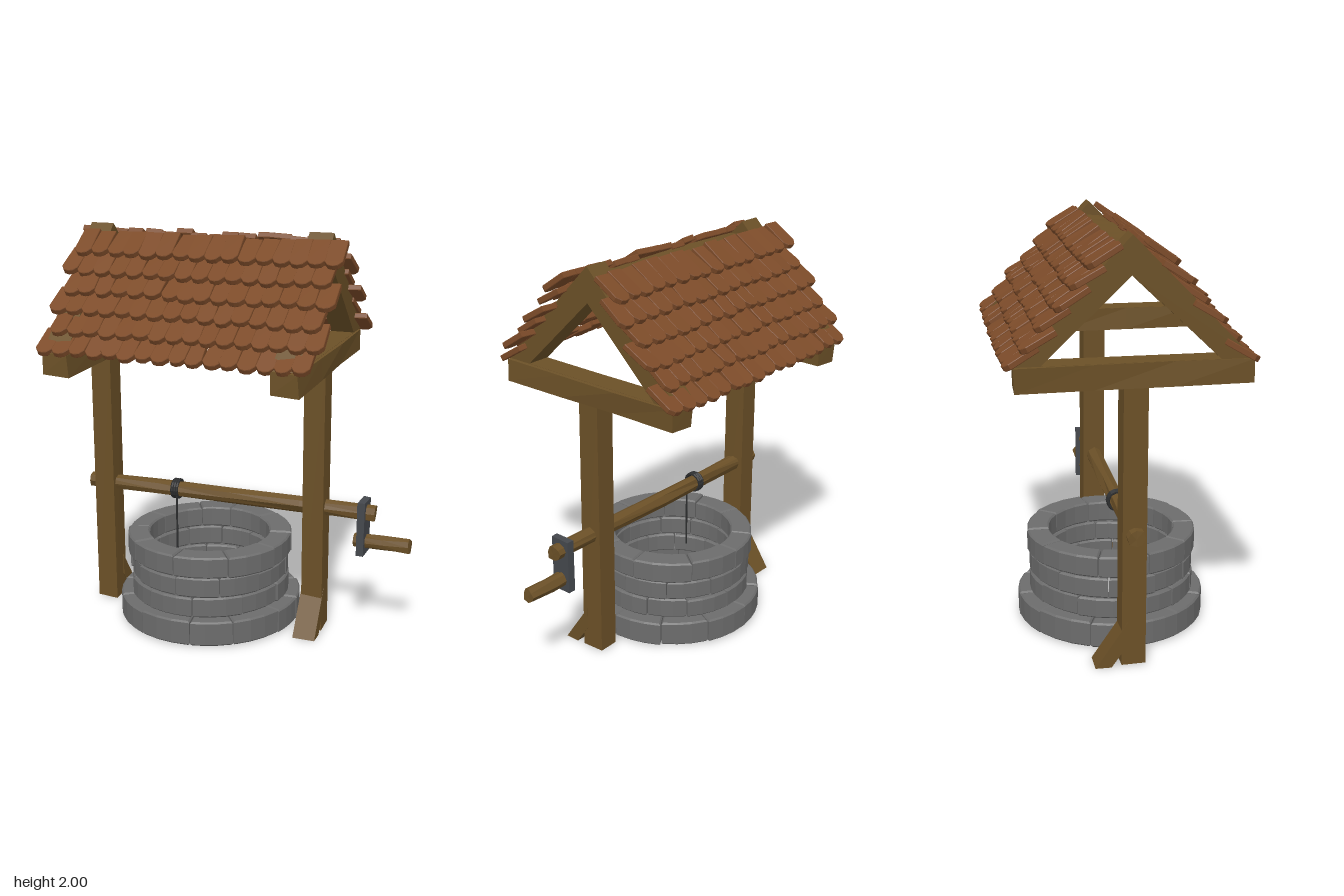
import * as THREE from 'three';

const mat = (color) => new THREE.MeshStandardMaterial({ color, flatShading: true, roughness: 0.9 });

// Small seeded generator, returns -1..1
function seeded(seed) {
  let s = seed;
  return () => {
    s = (s * 16807) % 2147483647;
    return (s / 2147483647) * 2 - 1;
  };
}

// Rough-hewn look: shift vertices by a rule of their position, so shared corners stay together
function warp(geo, amount) {
  const p = geo.attributes.position;
  for (let i = 0; i < p.count; i++) {
    const x = p.getX(i), y = p.getY(i), z = p.getZ(i);
    const k = x * 17 + y * 29 + z * 41;
    p.setXYZ(i, x + amount * Math.sin(k), y + amount * Math.sin(k * 1.7 + 1), z + amount * Math.sin(k * 2.3 + 2));
  }
  geo.computeVertexNormals();
  return geo;
}

function add(parent, name, geo, material, x = 0, y = 0, z = 0) {
  const mesh = new THREE.Mesh(geo, material);
  mesh.name = name;
  mesh.position.set(x, y, z);
  parent.add(mesh);
  return mesh;
}

const toShape = (pts) => new THREE.Shape(pts.map(([a, b]) => new THREE.Vector2(a, b)));

// Extrude a (z, y) outline along x, centred on x = 0
function extrudeX(shape, width) {
  const geo = new THREE.ExtrudeGeometry(shape, { depth: width, bevelEnabled: false });
  geo.translate(0, 0, -width / 2);
  geo.rotateY(-Math.PI / 2);
  return geo;
}

// A bevelled ring-sector stone, lying flat with its base at y = 0
function stoneGeometry(rIn, rOut, a0, a1, height) {
  const b = 0.008, pts = [], n = 3;
  const at = (r, a) => [r * Math.cos(a), r * Math.sin(a)];
  const gOut = (b + 0.002) / rOut, gIn = (b + 0.002) / rIn;
  for (let i = 0; i <= n; i++) pts.push(at(rOut - b, a0 + gOut + ((a1 - a0 - 2 * gOut) * i) / n));
  for (let i = n; i >= 0; i--) pts.push(at(rIn + b, a0 + gIn + ((a1 - a0 - 2 * gIn) * i) / n));
  const geo = new THREE.ExtrudeGeometry(toShape(pts), {
    depth: height - 2 * b, bevelEnabled: true, bevelSize: b, bevelThickness: b, bevelSegments: 1,
  });
  geo.translate(0, 0, b);
  geo.rotateX(-Math.PI / 2);
  return geo;
}

function buildWall(material) {
  const wall = new THREE.Group();
  wall.name = 'stoneWall';
  const rnd = seeded(77);
  // base height, height, inner radius, outer radius, stones, turn
  const courses = [
    [0.01, 0.125, 0.355, 0.465, 12, 0.1],
    [0.137, 0.1, 0.315, 0.405, 11, 0.35],
    [0.243, 0.1, 0.315, 0.405, 11, 0.05],
    [0.35, 0.108, 0.31, 0.423, 10, 0.27],
  ];
  for (const [y, h, rIn, rOut, n, turn] of courses) {
    const step = (Math.PI * 2) / n;
    const cuts = Array.from({ length: n }, (_, i) => turn + step * (i + 0.12 * rnd()));
    cuts.push(cuts[0] + Math.PI * 2);
    for (let i = 0; i < n; i++) {
      const geo = stoneGeometry(rIn, rOut + 0.006 * rnd(), cuts[i], cuts[i + 1], h + 0.004 * rnd());
      add(wall, 'stone', geo, material, 0, y, 0);
    }
  }
  return wall;
}

// One slope of overlapping tiles, rounded at their lower ends
function buildSlope(material, seed) {
  const slope = new THREE.Group();
  slope.name = 'roofSlope';
  const rnd = seeded(seed);
  const rows = 6, cols = 16, w = 0.0845, h = w / 2;
  const geo = new THREE.ExtrudeGeometry(
    toShape([[-h, 0.03], [-h * 0.55, 0.006], [0, 0], [h * 0.55, 0.006], [h, 0.03], [h * 0.95, 0.17], [-h * 0.95, 0.17]]),
    { depth: 0.022, bevelEnabled: true, bevelSize: 0.002, bevelThickness: 0.003, bevelSegments: 1 },
  );
  for (let r = 0; r < rows; r++) {
    for (let c = 0; c < cols; c++) {
      const x = (c - (cols - 1) / 2) * w + (r % 2) * 0.04;
      const tile = add(slope, 'roofTile', geo, material,
        x + 0.003 * rnd(), 1.435 + r * 0.085 + 0.006 * rnd(), 0.553 - r * 0.071 + 0.006 * rnd());
      tile.rotation.set(-1.01 + 0.06 * rnd(), 0.06 * rnd(), 0.05 * rnd());
      tile.scale.x = 1 + 0.05 * rnd();
    }
  }
  return slope;
}

export function createModel() {
  const wood = mat(0x6b5027), tileMat = mat(0x7c4b29), stone = mat(0x6c6c6c);
  const metal = mat(0x45484d), ropeMat = mat(0x2c2d2e);
  const model = new THREE.Group();
  model.name = 'well';
  const midX = -0.175, midZ = 0.02;

  const wall = buildWall(stone);
  wall.position.set(midX, 0, midZ);
  model.add(wall);

  // Two frames: post, foot brace, cross beam and gable; braces face opposite ways
  const gable = toShape([[-0.54, 1.45], [0.54, 1.45], [0, 2]]);
  gable.holes.push(new THREE.Path([[-0.395, 1.451], [0, 1.83], [0.395, 1.451]].map((p) => new THREE.Vector2(...p))));
  const brace = toShape([[0.18, 0.003], [0.105, 0.003], [0.03, 0.11], [0.03, 0.225]]);
  for (const side of [1, -1]) {
    const frame = new THREE.Group();
    frame.name = side > 0 ? 'leftFrame' : 'rightFrame';
    frame.position.x = midX + side * 0.57;
    add(frame, 'post', warp(new THREE.BoxGeometry(0.11, 1.34, 0.115), 0.003), wood, 0, 0.68, midZ);
    const foot = add(frame, 'footBrace', extrudeX(brace, 0.114), wood, 0, 0, midZ);
    foot.rotation.y = side > 0 ? 0 : Math.PI;
    add(frame, 'crossBeam', warp(new THREE.BoxGeometry(0.13, 0.11, 1.05, 1, 1, 3), 0.005), wood, 0, 1.39, 0.015);
    add(frame, 'gable', extrudeX(gable, 0.12), wood);
    model.add(frame);
  }
  add(model, 'ridgeBeam', warp(new THREE.BoxGeometry(1.1, 0.09, 0.125, 6, 1, 1), 0.006), wood, midX, 1.89, 0.005);

  // Roof: the second slope is the first turned half way round
  const roof = new THREE.Group();
  roof.name = 'roof';
  roof.position.x = -0.165;
  const back = buildSlope(tileMat, 912);
  back.rotation.y = Math.PI;
  roof.add(buildSlope(tileMat, 345), back);
  model.add(roof);

  // Axle, crank and handle
  const rod = (r, len, segs) => warp(new THREE.CylinderGeometry(r, r, len, 8, segs).rotateZ(Math.PI / 2), 0.004);
  add(model, 'axle', rod(0.04, 1.54, 4), wood, -0.07, 0.65, midZ);
  add(model, 'crankArm', warp(new THREE.BoxGeometry(0.036, 0.275, 0.11), 0.003), metal, 0.64, 0.575, midZ);
  add(model, 'crankHandle', rod(0.036, 0.275, 2), wood, 0.738, 0.5, midZ);

  // Rope coils and hanging end
  const rope = new THREE.Group();
  rope.name = 'rope';
  for (let i = 0; i < 3; i++) {
    const coil = add(rope, 'ropeCoil', new THREE.TorusGeometry(0.046, 0.008, 6, 14), ropeMat, -0.366 + i * 0.013, 0.653, midZ);
    coil.rotation.y = Math.PI / 2;
  }
  add(rope, 'hangingRope', new THREE.CylinderGeometry(0.005, 0.005, 0.36, 6), ropeMat, -0.34, 0.45, midZ + 0.04);
  model.add(rope);

  return model;
}
